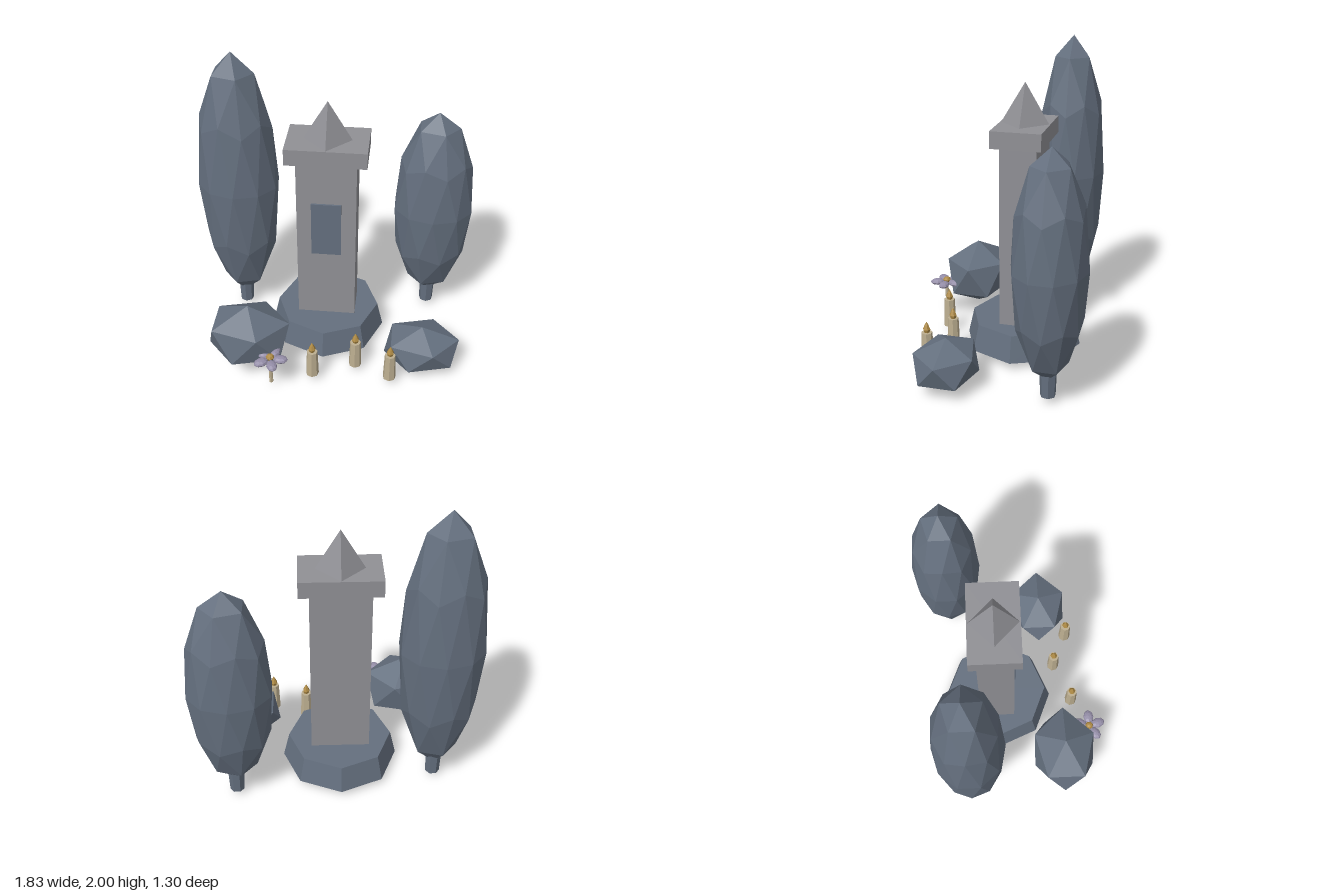
import * as THREE from 'three';

const mat = (name, color) => {
  const m = new THREE.MeshStandardMaterial({ color, flatShading: true });
  m.name = name;
  return m;
};

export function createModel() {
  const slate = mat('slate', 0x646f7e);
  const stone = mat('stone', 0x909095);
  const cream = mat('cream', 0xbcae90);
  const gold = mat('gold', 0xb08c46);
  const lilac = mat('lilac', 0x958ea8);

  const root = new THREE.Group();
  root.name = 'memorialGarden';

  const add = (parent, name, geometry, material, x, y, z) => {
    const mesh = new THREE.Mesh(geometry, material);
    mesh.name = name;
    mesh.position.set(x, y, z);
    parent.add(mesh);
    return mesh;
  };
  const group = (name, x, z) => {
    const g = new THREE.Group();
    g.name = name;
    g.position.set(x, 0, z);
    root.add(g);
    return g;
  };

  // Faceted ball with a corner at the top and one upper-ring corner toward +x
  const gem = (detail, rx, ry, rz) => {
    const g = new THREE.IcosahedronGeometry(1, detail);
    g.rotateX(-Math.atan((1 + Math.sqrt(5)) / 2));
    g.rotateY(Math.PI / 2);
    g.scale(rx, ry, rz);
    g.computeVertexNormals();
    return g;
  };

  // Monument: octagonal plinth, pillar, cap, pyramid and plaque
  const monument = group('monument', -0.035, -0.105);
  add(monument, 'plinth', new THREE.CylinderGeometry(0.345, 0.385, 0.175, 8), slate, 0, 0.133, 0);
  add(monument, 'pillar', new THREE.BoxGeometry(0.385, 1.22, 0.235), stone, 0, 0.81, 0);
  add(monument, 'cap', new THREE.BoxGeometry(0.517, 0.11, 0.322), stone, 0, 1.475, 0);
  add(monument, 'pyramid', new THREE.ConeGeometry(0.154, 0.26, 4), stone, 0, 1.66, 0);
  add(monument, 'plaque', new THREE.BoxGeometry(0.194, 0.39, 0.02), slate, 0, 0.925, 0.12);

  // Trees: x, z, middle height and half height of the crown
  for (const [name, x, z, y, h] of [
    ['rightTree', -0.655, -0.29, 1.065, 0.935],
    ['leftTree', 0.653, -0.42, 0.865, 0.715],
  ]) {
    const tree = group(name, x, z);
    add(tree, 'crown', gem(1, 0.272, h, 0.23), slate, 0, y, 0);
    add(tree, 'trunk', new THREE.CylinderGeometry(0.055, 0.048, 0.2, 7), slate, 0, 0.145, 0);
  }

  // Boulder-like bushes
  add(root, 'rightBush', gem(0, 0.303, 0.232, 0.239), slate, -0.514, 0.287, 0.35);
  add(root, 'leftBush', gem(0, 0.276, 0.163, 0.222), slate, 0.625, 0.163, 0.225);

  // Candles with teardrop flames
  const flame = [[0, 0], [0.017, 0.004], [0.025, 0.027], [0.013, 0.055], [0, 0.08]]
    .map(([r, y]) => new THREE.Vector2(r, y));
  for (const [x, z] of [[-0.085, 0.435], [0.19, 0.32], [0.425, 0.42]]) {
    const candle = group('candle', x, z);
    add(candle, 'wax', new THREE.CylinderGeometry(0.036, 0.043, 0.195, 7), cream, 0, 0.143, 0);
    add(candle, 'flame', new THREE.LatheGeometry(flame, 6), gold, 0, 0.235, 0);
  }

  // Five-petalled flower
  const flower = group('flower', -0.345, 0.54);
  add(flower, 'stem', new THREE.CylinderGeometry(0.011, 0.014, 0.2, 6), cream, 0, 0.145, 0);
  add(flower, 'flowerCentre', new THREE.SphereGeometry(0.028, 7, 4).scale(1, 0.75, 1), gold, 0, 0.265, 0);
  for (let i = 0; i < 5; i++) {
    const a = (i / 5) * Math.PI * 2;
    const petal = add(flower, 'petal', new THREE.SphereGeometry(1, 8, 6).scale(0.05, 0.022, 0.036),
      lilac, Math.cos(a) * 0.066, 0.25, Math.sin(a) * 0.066);
    petal.rotation.y = -a;
  }
  return root;
}
